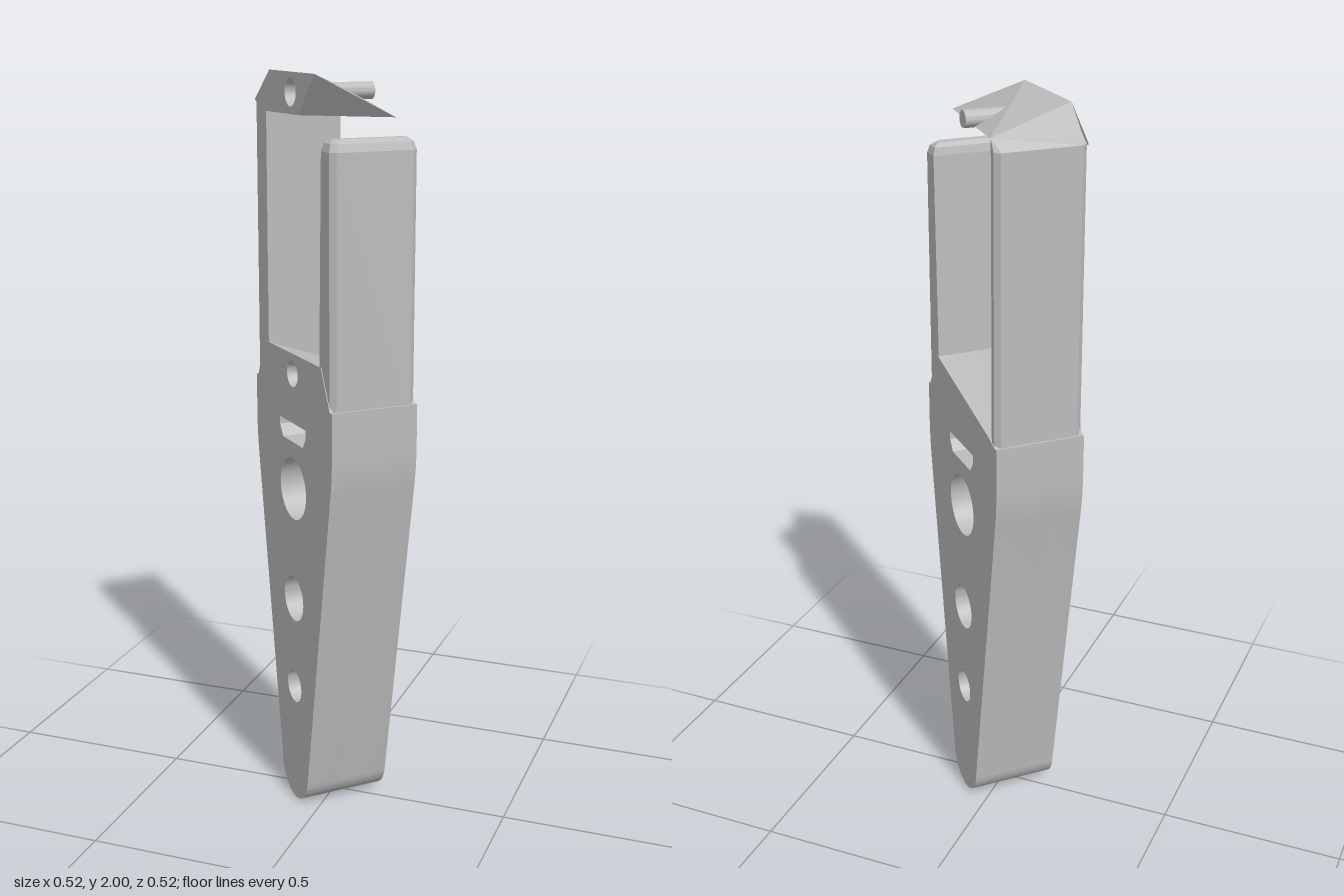
import * as THREE from 'three';
import { toCreasedNormals } from 'three/addons/utils/BufferGeometryUtils.js';
import { ConvexGeometry } from 'three/addons/geometries/ConvexGeometry.js';

const D = 0.12; // half thickness

export function createModel() {
  const grey = new THREE.MeshStandardMaterial({ color: 0xbcbcbc, side: THREE.DoubleSide });
  grey.name = 'plain grey';

  const model = new THREE.Group();
  model.name = 'clampBracket';
  const tool = new THREE.Group();
  tool.name = 'turnedBracket';
  tool.rotation.y = -Math.PI / 4;
  model.add(tool);

  const add = (name, geometry) => {
    const mesh = new THREE.Mesh(geometry, grey);
    mesh.name = name;
    tool.add(mesh);
    return mesh;
  };
  const circle = (x, y, r) => new THREE.Path().absarc(x, y, r, 0, Math.PI * 2, true);
  const points = (list) => list.map((p) => new THREE.Vector3(...p));

  // Tapered body outline with a round foot
  function bodyShape() {
    const s = new THREE.Shape();
    s.moveTo(-0.2475, 1.18);
    s.lineTo(-0.2475, 1.07);
    s.quadraticCurveTo(-0.2475, 1.02, -0.24, 0.97);
    s.lineTo(-0.085, 0.075);
    s.absarc(0, 0.086, 0.086, Math.PI + 0.16, Math.PI * 2 - 0.16, false);
    s.lineTo(0.24, 0.97);
    s.quadraticCurveTo(0.2475, 1.02, 0.2475, 1.07);
    s.lineTo(0.2475, 1.18);
    s.lineTo(0.235, 1.18);
    s.lineTo(0.18, 1.285);
    s.lineTo(-0.19, 1.285);
    s.lineTo(-0.235, 1.18);
    s.closePath();
    // Three round holes and a slot
    for (const [y, r] of [[0.915, 0.085], [0.6, 0.063], [0.34, 0.046]]) s.holes.push(circle(0, y, r));
    s.holes.push(new THREE.Path([[-0.085, 1.097], [0.085, 1.097], [0.085, 1.075], [0.065, 1.045],
      [-0.065, 1.045], [-0.085, 1.075]].map((p) => new THREE.Vector2(...p))));
    return s;
  }

  // One slab of the body; its top slopes down toward the back on one side
  function bodyLayer(name, z0, z1, shape) {
    const g = new THREE.ExtrudeGeometry(shape, { depth: z1 - z0, bevelEnabled: false, curveSegments: 20 });
    g.translate(0, 0, z0);
    const p = g.attributes.position;
    for (let i = 0; i < p.count; i++) {
      if (p.getY(i) > 1.27 && p.getX(i) < 0) p.setY(i, 1.285 - 0.09 * (D - p.getZ(i)) / (2 * D));
    }
    add(name, toCreasedNormals(g, 0.5));
  }
  const frontShape = bodyShape();
  frontShape.holes.push(circle(0, 1.23, 0.035));
  bodyLayer('bodyFront', 0.02, D, frontShape);
  bodyLayer('bodyBack', -D, 0.02, bodyShape());

  // Countersunk bore running backward from the front face
  function bore(name, y, zEnd) {
    const profile = [[0.035, 0], [0.022, 0.05], [0.022, D - zEnd], [0, D - zEnd]];
    const g = new THREE.LatheGeometry(profile.map((p) => new THREE.Vector2(...p)), 20);
    g.rotateX(-Math.PI / 2);
    g.translate(0, y, D);
    add(name, toCreasedNormals(g, 0.5));
  }
  bore('lowerBore', 1.23, 0.021);
  bore('upperBore', 1.95, -0.106);

  // Short arm with chamfered edges and a rounded top
  const shortArm = [];
  for (const [y, inner, outer, z] of [[1.15, 0.165, 0.24, 0.118], [1.82, 0.18, 0.24, 0.118],
    [1.84, 0.184, 0.234, 0.112], [1.85, 0.195, 0.222, 0.1]]) {
    for (const s of [-1, 1]) {
      shortArm.push([inner, y, s * z], [outer - 0.012, y, s * z], [outer, y, s * (z - 0.014)]);
    }
  }
  add('shortArm', new ConvexGeometry(points(shortArm)));

  // Tall arm, thinner toward the back
  const tallArm = [];
  for (const y of [1.12, 1.92]) {
    tallArm.push([-0.163, y, 0.118], [-0.228, y, 0.118], [-0.24, y, 0.104],
      [-0.24, y, -0.104], [-0.228, y, -0.118], [-0.212, y, -0.118]);
  }
  tallArm.push([-0.212, 1.95, -0.118], [-0.165, 1.965, 0.118]);
  add('tallArm', new ConvexGeometry(points(tallArm)));

  // Hooked jaw: a drilled front plate, then facets running to the point
  const A = [-0.134, 2, D], B = [0.148, 2, D], C = [-0.212, 1.95, -D], E = [0.318, 1.905, -0.014];
  const F = [-0.163, 1.895, D], Q = [0.05, 1.897, D];
  const O = [-0.235, 1.92, 0.112], R = [-0.235, 1.92, -0.112];
  const plate = new THREE.Shape([O, F, Q, B, A].map((p) => new THREE.Vector2(p[0], p[1])));
  plate.holes.push(circle(0, 1.95, 0.035));
  add('jawFront', new THREE.ShapeGeometry(plate, 20)).position.z = D;
  const facets = [A, B, C, B, E, C, Q, E, B, F, C, E, F, E, Q, O, A, C, O, C, R];
  const jaw = new THREE.BufferGeometry().setFromPoints(points(facets));
  jaw.computeVertexNormals();
  add('jaw', jaw);

  return model;
}
